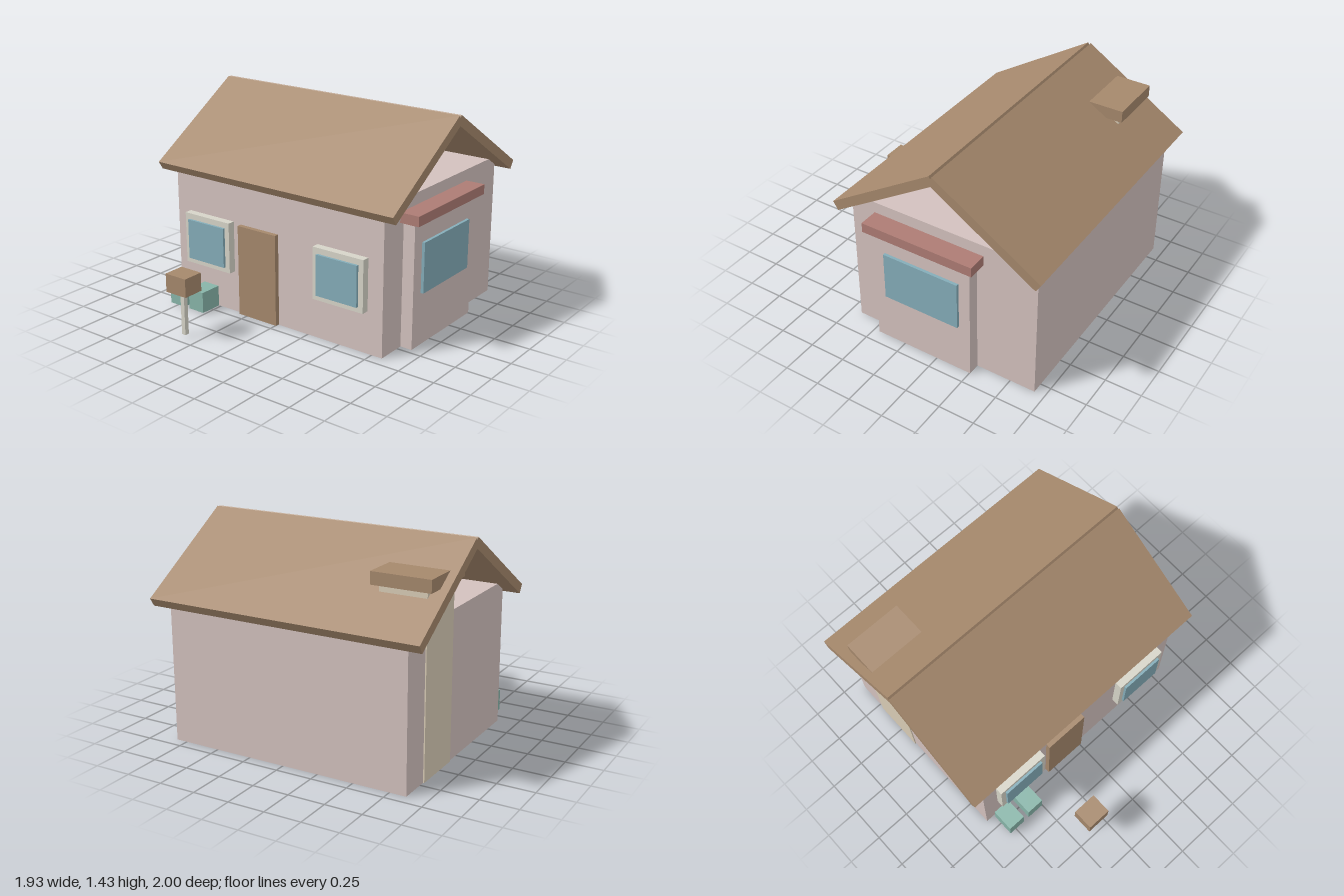
import * as THREE from 'three';

const paint = (color) => new THREE.MeshStandardMaterial({ color });
const WALL = paint(0xd3c1be), WOOD = paint(0xa5886c), STONE = paint(0xd9ccb6), TRIM = paint(0xd6d4c8);
const GLASS = paint(0x84acb8), AWNING = paint(0xad7c74), BIN = paint(0x87b4a8);

// Box given by its extents along each axis
function block(name, material, [x0, x1], [y0, y1], [z0, z1]) {
  const mesh = new THREE.Mesh(new THREE.BoxGeometry(x1 - x0, y1 - y0, z1 - z0), material);
  mesh.position.set((x0 + x1) / 2, (y0 + y1) / 2, (z0 + z1) / 2);
  mesh.name = name;
  return mesh;
}

export function createModel() {
  const house = new THREE.Group();
  house.name = 'house';
  const add = (...args) => house.add(block(...args));

  // Walls and side bay
  add('walls', WALL, [-0.863, 0.827], [0, 0.99], [-0.927, 0.422]);
  add('sideBay', WALL, [0.82, 0.91], [0, 0.845], [-0.505, 0.21]);
  add('sideBayRoof', AWNING, [0.82, 0.96], [0.845, 0.912], [-0.55, 0.25]);
  add('sideWindow', GLASS, [0.9, 0.93], [0.36, 0.7], [-0.425, 0.122]);

  // Gable roof: two tilted slabs mirrored about the ridge, open at the ends
  const ridgeZ = -0.255, tilt = Math.atan2(0.465, 0.735), length = 0.87, thickness = 0.065;
  for (const side of [1, -1]) {
    const slab = new THREE.Mesh(new THREE.BoxGeometry(1.9, thickness, length), WOOD);
    slab.name = side > 0 ? 'frontRoof' : 'backRoof';
    slab.rotation.x = side * tilt;
    const outerZ = 0.378 - Math.sin(tilt) * thickness / 2;
    const outerY = 1.198 - Math.cos(tilt) * thickness / 2;
    slab.position.set(-0.02, outerY, ridgeZ + side * outerZ);
    house.add(slab);
  }

  // Chimney, running down to the ground
  add('chimney', STONE, [-0.871, -0.555], [0, 1.2], [-0.71, -0.35]);
  add('chimneyCap', WOOD, [-0.915, -0.515], [1.195, 1.277], [-0.75, -0.305]);

  // Front door and windows
  add('door', WOOD, [-0.305, 0.01], [0.005, 0.637], [0.41, 0.455]);
  for (const x of [-0.559, 0.522]) {
    add('windowFrame', TRIM, [x - 0.193, x + 0.193], [0.29, 0.645], [0.415, 0.475]);
    add('windowPane', GLASS, [x - 0.156, x + 0.156], [0.327, 0.605], [0.44, 0.492]);
  }

  // Bins by the wall
  for (const x of [-0.738, -0.567]) add('bin', BIN, [x - 0.063, x + 0.063], [0.01, 0.155], [0.44, 0.6]);

  // Mailbox on its post
  add('mailboxPost', TRIM, [-0.371, -0.341], [0.023, 0.33], [0.914, 0.946]);
  add('mailbox', WOOD, [-0.44, -0.273], [0.32, 0.445], [0.855, 1]);

  return house;
}
